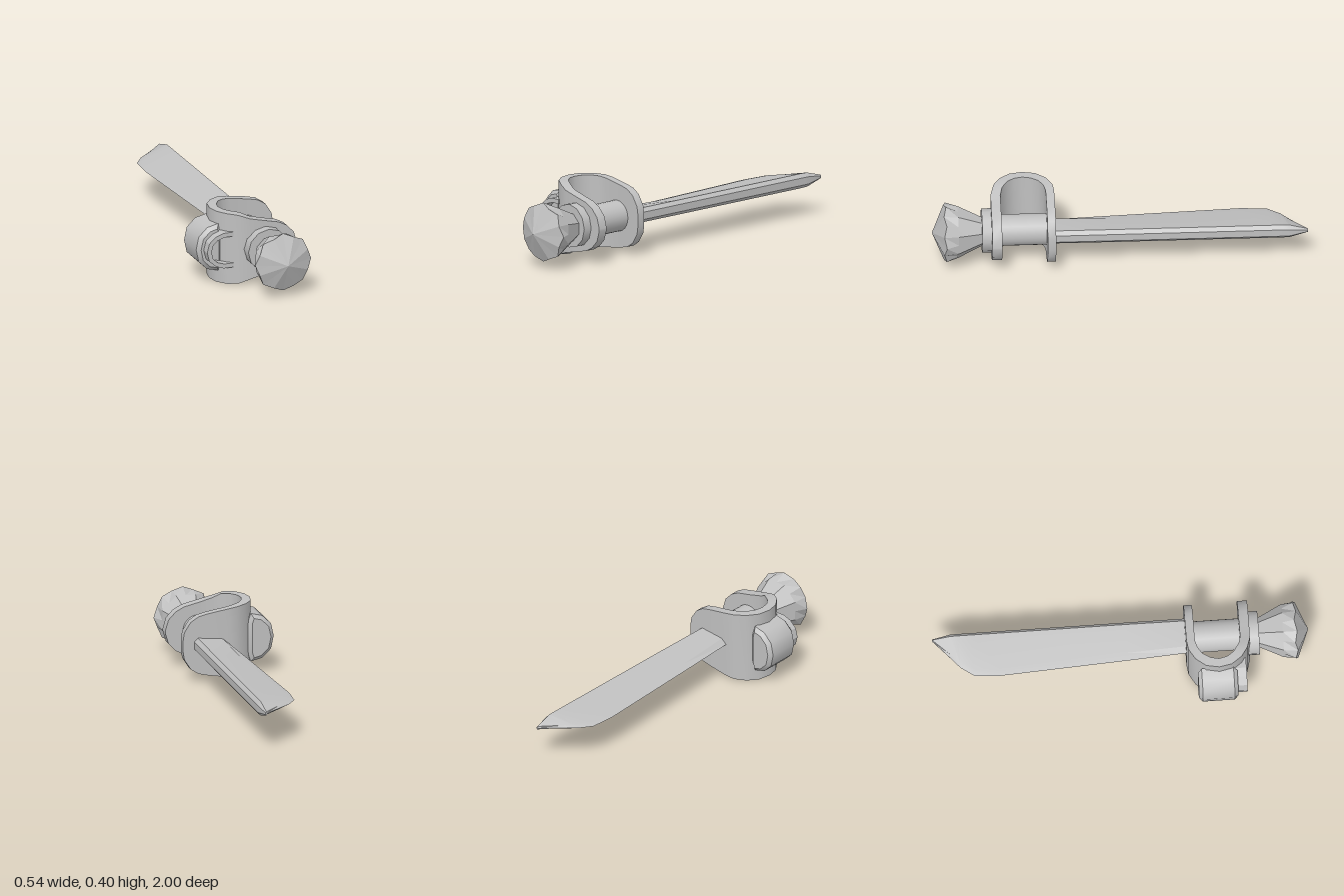
import * as THREE from 'three';
import { toCreasedNormals } from 'three/addons/utils/BufferGeometryUtils.js';

const steel = new THREE.MeshStandardMaterial({ color: 0xc0c0c0 });
steel.name = 'steel';

// Join closed cross-sections (equal point counts) into a capped solid
function loft(rings, crease) {
  const n = rings[0].length, idx = [], pts = rings.flat();
  for (let r = 0; r < rings.length - 1; r++) {
    for (let i = 0; i < n; i++) {
      const a = r * n + i, b = r * n + (i + 1) % n;
      idx.push(a, b, b + n, a, b + n, a + n);
    }
  }
  const last = (rings.length - 1) * n;
  for (let i = 1; i < n - 1; i++) {
    idx.push(0, i + 1, i, last, last + i, last + i + 1);
  }
  // Turn the faces outward if the signed volume is negative
  const v = pts.map(p => new THREE.Vector3(...p));
  let volume = 0;
  for (let i = 0; i < idx.length; i += 3) {
    volume += v[idx[i]].dot(v[idx[i + 1]].clone().cross(v[idx[i + 2]]));
  }
  if (volume < 0) idx.reverse();
  const g = new THREE.BufferGeometry();
  g.setAttribute('position', new THREE.Float32BufferAttribute(pts.flat(), 3));
  g.setIndex(idx);
  return toCreasedNormals(g, crease);
}

export function createModel() {
  const model = new THREE.Group();
  model.name = 'sword';
  const cx = 0.087, cy = 0.2;
  const add = (name, geometry) => {
    const mesh = new THREE.Mesh(geometry, steel);
    mesh.name = name;
    model.add(mesh);
    return mesh;
  };
  const rod = (name, r, z0, z1, sides) => {
    const g = new THREE.CylinderGeometry(r, r, z1 - z0, sides).rotateX(Math.PI / 2);
    add(name, g).position.set(cx, cy, (z0 + z1) / 2);
  };

  // Blade: z, edge x, bevel x, bevel half height, spine x, spine half height
  const blade = [
    [0.36, 0.0, 0.03, 0.026, 0.168, 0.04],
    [0.03, -0.02, 0.02, 0.011, 0.17, 0.04],
    [-0.65, -0.057, -0.02, 0.01, 0.17, 0.04],
    [-0.79, -0.047, -0.01, 0.01, 0.17, 0.04],
    [-0.86, 0.003, 0.03, 0.01, 0.17, 0.04],
    [-0.9, 0.05, 0.07, 0.01, 0.17, 0.039],
    [-1, 0.162, 0.164, 0.004, 0.167, 0.01],
  ].map(([z, xe, xb, hb, xs, h]) => {
    const back = z < -0.95 ? 0.172 : 0.188;
    return [[xe, cy, z], [xb, cy + hb, z], [xs, cy + h, z], [back, cy + h * 0.5, z],
      [back, cy - h * 0.5, z], [xs, cy - h, z], [xb, cy - hb, z]];
  });
  add('blade', loft(blade, 0.25));

  // Guard: bent band given by outer x, z, inner x, z and half height
  const guard = [
    [0.25, 0.345, 0.25, 0.39, 0.03],
    [0.243, 0.345, 0.243, 0.39, 0.075],
    [0.208, 0.345, 0.208, 0.39, 0.13],
    [0.165, 0.345, 0.165, 0.39, 0.158],
    [0.11, 0.345, 0.11, 0.39, 0.171],
    [0.0, 0.345, 0.0, 0.39, 0.189],
    [-0.05, 0.352, -0.04, 0.4, 0.195],
    [-0.108, 0.386, -0.08, 0.425, 0.198],
    [-0.15, 0.44, -0.105, 0.465, 0.199],
    [-0.163, 0.51, -0.115, 0.51, 0.199],
    [-0.15, 0.577, -0.105, 0.555, 0.199],
    [-0.11, 0.632, -0.08, 0.59, 0.198],
    [-0.06, 0.665, -0.035, 0.62, 0.193],
    [0.0, 0.683, 0.01, 0.632, 0.171],
    [0.08, 0.685, 0.08, 0.632, 0.152],
    [0.165, 0.685, 0.165, 0.632, 0.132],
    [0.21, 0.685, 0.21, 0.632, 0.108],
    [0.25, 0.685, 0.25, 0.632, 0.066],
    [0.268, 0.685, 0.268, 0.632, 0.006],
  ].map(([xo, zo, xi, zi, h]) => [
    [xo, cy + h, zo], [xo, cy - h, zo], [xi, cy - h, zi], [xi, cy + h, zi]]);
  add('guard', loft(guard, 0.6));

  rod('grip', 0.084, 0.37, 0.65, 24);
  rod('collar', 0.118, 0.64, 0.735, 12);

  // Pommel: eight-sided cut gem, corners alternating with facet midpoints
  const c = Math.cos(Math.PI / 8);
  const pommel = [
    [0.07, 0.73, 0.07 / c, 0.73],
    [0.13, 0.862, 0.13 / c, 0.862],
    [0.161, 0.925, 0.161 * c, 0.938],
    [0.001, 1, 0.001, 1],
  ].map(([r0, z0, r1, z1]) => Array.from({ length: 16 }, (_, i) => {
    const a = i * Math.PI / 8, r = i % 2 ? r1 : r0;
    return [0.09 + r * Math.cos(a), 0.197 + r * Math.sin(a), i % 2 ? z1 : z0];
  }));
  add('pommel', loft(pommel, 0.1));

  // Side block: half barrel on the outside of the guard
  const arc = [[-0.143, 0.133], [-0.207, 0.117], [-0.255, 0.07], [-0.27, 0]];
  const outline = half => [
    ...half.map(([x, h]) => new THREE.Vector2(x, cy + h)),
    ...half.slice(0, -1).reverse().map(([x, h]) => new THREE.Vector2(x, cy - h)),
  ];
  const barrel = new THREE.ExtrudeGeometry(
    new THREE.Shape(outline([[-0.126, 0.08], ...arc])),
    { depth: 0.17, bevelThickness: 0.02, bevelSize: 0.02, bevelOffset: -0.02, bevelSegments: 1 });
  add('sideBlock', toCreasedNormals(barrel.translate(0, 0, 0.415), 0.6));

  // Side loop: small arched strip joining the block to the guard
  const outer = outline([[-0.085, 0.099], [-0.14, 0.099], [-0.185, 0.083], [-0.222, 0.05], [-0.235, 0]]);
  const inner = outline([[-0.085, 0.075], [-0.135, 0.075], [-0.175, 0.062], [-0.2, 0.038], [-0.21, 0]]);
  add('sideLoop', new THREE.ExtrudeGeometry(
    new THREE.Shape([...outer, ...inner.reverse()]),
    { depth: 0.065, bevelEnabled: false }).translate(0, 0, 0.59));

  return model;
}
